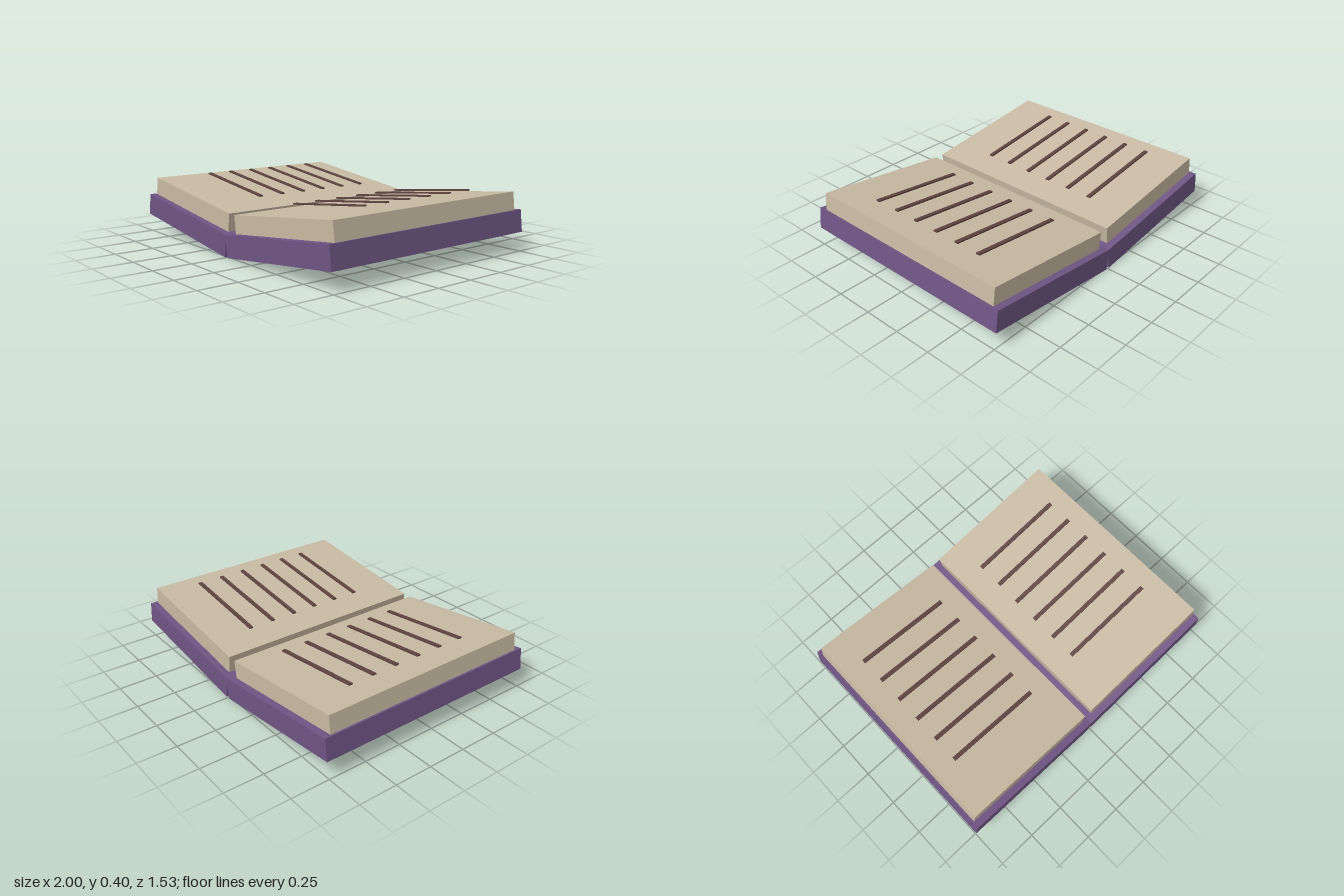
import * as THREE from 'three';

const material = (name, color) => {
  const m = new THREE.MeshStandardMaterial({ color });
  m.name = name;
  return m;
};

export function createModel() {
  const purple = material('purple cover', 0x6f5584);
  const cream = material('cream paper', 0xc8baa3);
  const ink = material('brown ink', 0x5e4441);

  const TILT = 0.122;
  const book = new THREE.Group();
  book.name = 'openBook';

  const addBox = (parent, name, mat, size, pos) => {
    const mesh = new THREE.Mesh(new THREE.BoxGeometry(...size), mat);
    mesh.name = name;
    mesh.position.set(...pos);
    parent.add(mesh);
  };

  // Two mirrored halves, each tilted up towards its outer edge
  for (const [label, side] of [['left', 1], ['right', -1]]) {
    const half = new THREE.Group();
    half.name = `${label}Half`;
    half.position.set(side * 0.4975, 0.1305, 0);
    half.rotation.z = side * TILT;
    book.add(half);

    addBox(half, `${label}Cover`, purple, [0.995, 0.141, 1.53], [0, 0, 0]);

    // Page block resting on the cover
    addBox(half, `${label}Pages`, cream, [0.934, 0.1155, 1.44], [side * 0.017, 0.1283, 0]);

    // Rows of writing hovering just above the page
    for (let i = 0; i < 6; i++) {
      addBox(half, `${label}TextLine${i + 1}`, ink, [0.643, 0.009, 0.026],
        [side * 0.027, 0.2195, -0.461 + i * 0.1687]);
    }
  }
  return book;
}
